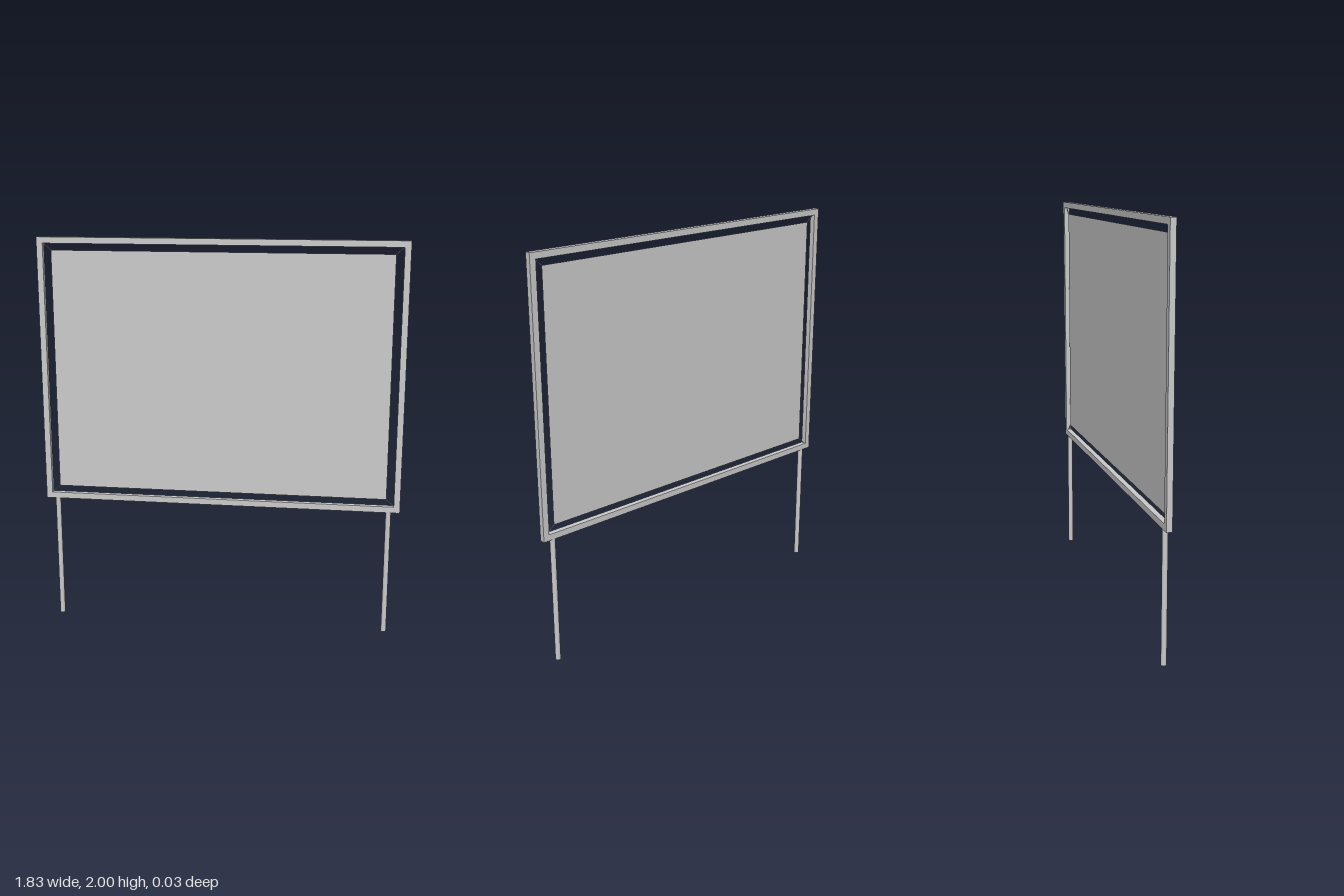
import * as THREE from 'three';

export function createModel() {
  const model = new THREE.Group();
  const grey = new THREE.MeshStandardMaterial({ color: 0xcccccc });
  const thin = new THREE.MeshStandardMaterial({ color: 0xcccccc, side: THREE.DoubleSide });
  const add = (name, geometry, material = grey) => {
    const mesh = new THREE.Mesh(geometry, material);
    mesh.name = name;
    model.add(mesh);
    return mesh;
  };

  const midY = 1.325, depth = 0.028;
  const rect = (target, w, h) => target
    .moveTo(-w, midY - h).lineTo(w, midY - h).lineTo(w, midY + h).lineTo(-w, midY + h).closePath();

  // Rectangular frame with an open middle
  const outline = rect(new THREE.Shape(), 0.915, 0.675);
  outline.holes.push(rect(new THREE.Path(), 0.884, 0.644));
  const frame = new THREE.ExtrudeGeometry(outline, { depth, bevelEnabled: false });
  add('frame', frame.translate(0, 0, -depth / 2));

  // Thin panel hung inside the frame
  const panel = add('panel', new THREE.PlaneGeometry(1.692, 1.22), thin);
  panel.position.y = midY;

  for (const sx of [-1, 1]) {
    const side = sx > 0 ? 'left' : 'right';

    // Round leg under the frame
    const leg = add(`${side}Leg`, new THREE.CylinderGeometry(0.0135, 0.0135, 0.65, 16));
    leg.position.set(sx * 0.858, 0.325, 0);

    // Cords from the panel corners to the frame corners
    for (const sy of [-1, 1]) {
      const cord = new THREE.LineCurve3(
        new THREE.Vector3(sx * 0.844, midY + sy * 0.608, 0),
        new THREE.Vector3(sx * 0.886, midY + sy * 0.646, 0));
      add(`${side}${sy > 0 ? 'Upper' : 'Lower'}Cord`, new THREE.TubeGeometry(cord, 1, 0.002, 8));
    }
  }
  return model;
}
